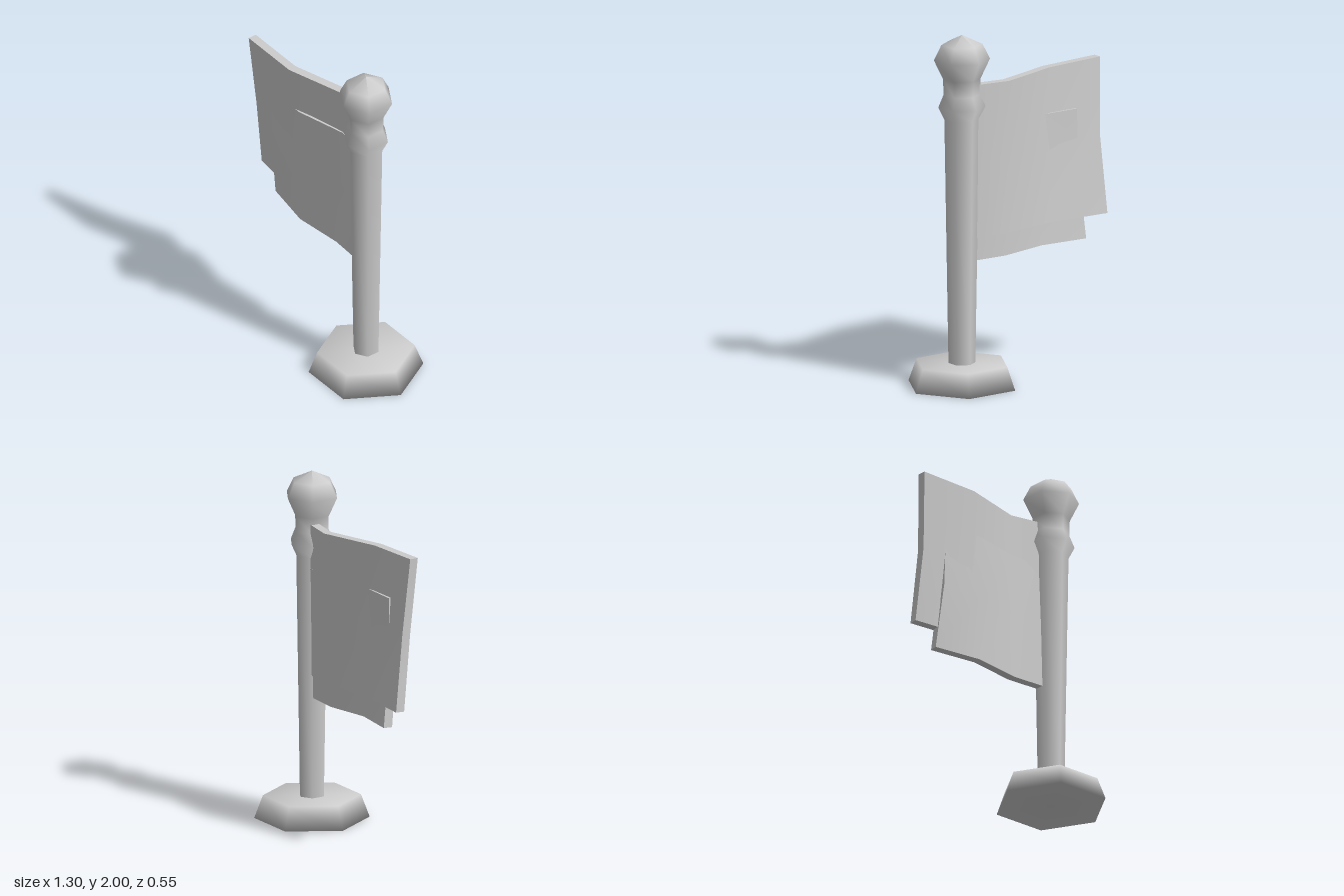
import * as THREE from 'three';

const POST_X = 0.33;

// Six-sided turned part with smooth normals
function turned(name, profile, phi, material) {
  const points = profile.map(([r, y]) => new THREE.Vector2(r, y));
  const mesh = new THREE.Mesh(new THREE.LatheGeometry(points, 6, phi), material);
  mesh.name = name;
  mesh.position.x = POST_X;
  return mesh;
}

// Thick cloth: rows run from top to bottom, each a list of [x, y, z] from the free edge to the post
function cloth(name, rows, thickness, material) {
  const columns = rows[0].length - 1;
  const geometry = new THREE.BoxGeometry(1, 1, 1, columns, rows.length - 1, 1);
  const p = geometry.attributes.position;
  for (let i = 0; i < p.count; i++) {
    const c = Math.round((p.getX(i) + 0.5) * columns);
    const r = Math.round((0.5 - p.getY(i)) * (rows.length - 1));
    const [x, y, z] = rows[r][c];
    // offset across the cloth, following its slope
    const a = rows[r][Math.max(c - 1, 0)], b = rows[r][Math.min(c + 1, columns)];
    const angle = Math.atan2(b[2] - a[2], b[0] - a[0]);
    const d = p.getZ(i) * thickness;
    p.setXYZ(i, x - Math.sin(angle) * d, y, z + Math.cos(angle) * d);
  }
  geometry.computeVertexNormals();
  const mesh = new THREE.Mesh(geometry, material);
  mesh.name = name;
  return mesh;
}

export function createModel() {
  const group = new THREE.Group();
  group.name = 'flagPost';
  const grey = new THREE.MeshStandardMaterial({ color: 0xcccccc });
  grey.name = 'plain grey';

  // Foot with corners pointing sideways
  group.add(turned('base', [[0, 0], [0.32, 0], [0.272, 0.13], [0, 0.13]], Math.PI / 2, grey));

  // Flaring post with collar and knob, corners pointing to front and back
  group.add(turned('post', [
    [0.075, 0.12], [0.098, 1.52], [0.132, 1.59], [0.103, 1.66],
    [0.105, 1.75], [0.157, 1.86], [0.115, 1.945], [0, 2],
  ], 0, grey));

  // Large rear cloth, bottom swinging backwards
  group.add(cloth('rearFlag', [
    [[-0.65, 1.725, 0.048], [-0.29, 1.717, 0.043], [0.07, 1.715, -0.063], [0.27, 1.715, -0.03]],
    [[-0.625, 1.28, 0.012], [-0.285, 1.28, 0.028], [0.07, 1.28, -0.05], [0.27, 1.28, -0.025]],
    [[-0.64, 0.85, -0.037], [-0.27, 0.845, 0.002], [0.07, 0.84, -0.035], [0.27, 0.84, -0.02]],
  ], 0.05, grey));

  // Smaller cloth hanging lower, just in front and sinking into the rear one at its top
  group.add(cloth('frontFlag', [
    [[-0.47, 1.46, 0.022], [-0.22, 1.46, 0.026], [0.08, 1.46, -0.049], [0.27, 1.46, -0.03]],
    [[-0.48, 1.1, 0.018], [-0.22, 1.1, 0.028], [0.07, 1.1, -0.034], [0.27, 1.1, -0.018]],
    [[-0.5, 0.725, -0.028], [-0.22, 0.718, 0.016], [0.06, 0.71, -0.022], [0.27, 0.71, -0.012]],
  ], 0.05, grey));

  return group;
}
